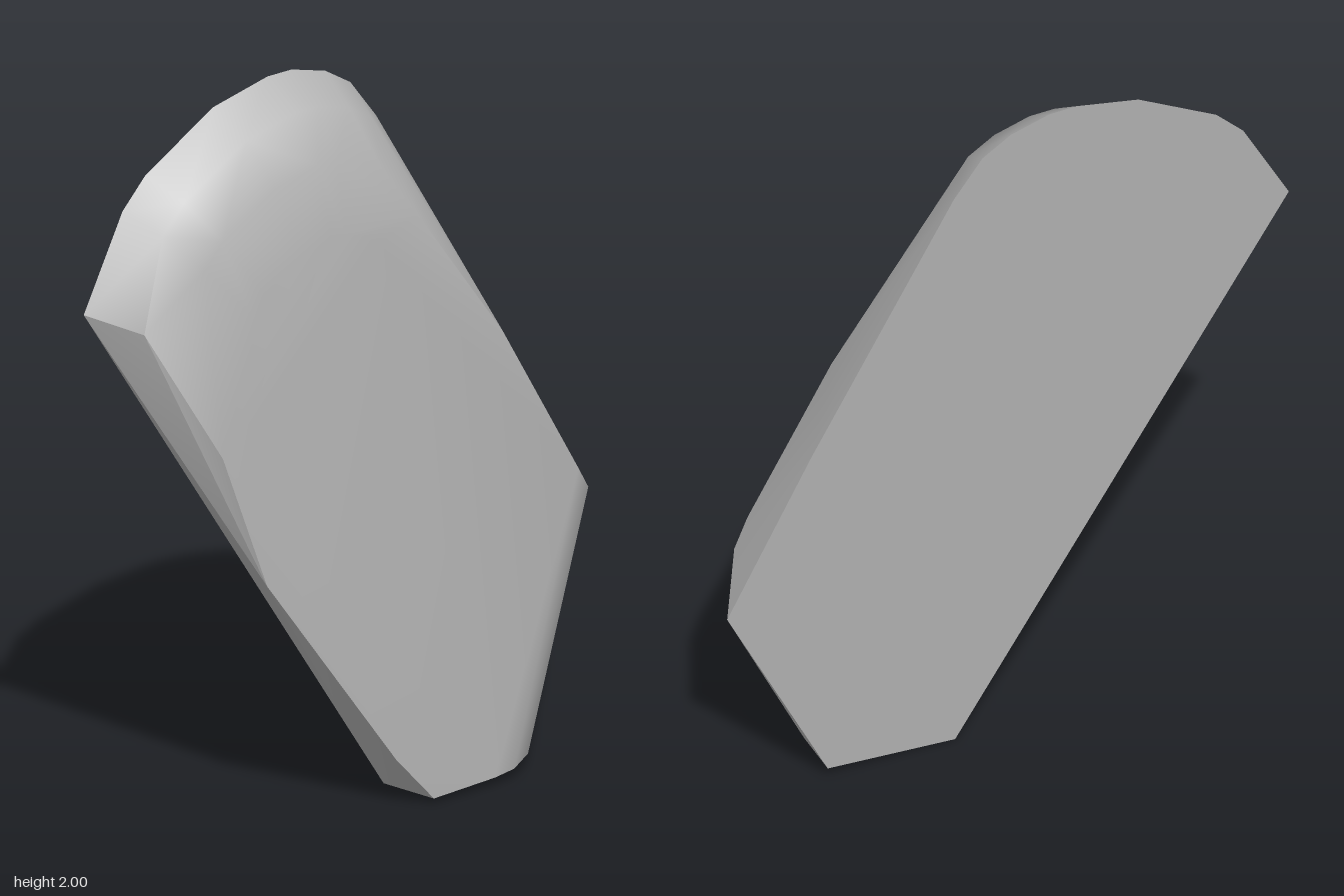
import * as THREE from 'three';
import { ConvexGeometry } from 'three/addons/geometries/ConvexGeometry.js';
import { toCreasedNormals } from 'three/addons/utils/BufferGeometryUtils.js';

// Point on the slab: z, y and thickness t above the tilted flat back
const onSlab = ([z, y, t = 0]) =>
  new THREE.Vector3(-0.041 - 0.0553 * y - 0.0512 * z + t, y, z);

export function createModel() {
  const group = new THREE.Group();
  group.name = 'stoneSlab';
  const stone = new THREE.MeshStandardMaterial({ color: 0xb4b4b4 });
  stone.name = 'grey stone';

  // Rounded upper outline of the flat back
  const crown = [[0.8, 1.5], [0.66, 1.75], [0.58, 1.83], [0.35, 1.96], [0.17, 2],
    [0.09, 2], [-0.02, 1.97], [-0.1, 1.92], [-0.18, 1.81]];
  // Remaining back corners
  const backCorners = [[-0.57, 1.09], [-0.8, 0.63], [-0.49, 0.03], [-0.12, 0]];
  // Sharp rim of the broad face
  const faceRim = [
    [0.71, 1.46, 0.128], [0.53, 1.1, 0.202], [0.4, 0.72, 0.2], [0, 0.15, 0.2],
    [-0.12, 0.015, 0.197], [-0.32, 0.025, 0.2], [-0.39, 0.03, 0.192], [-0.48, 0.035, 0.14],
    [-0.69, 0.72, 0.165], [-0.64, 0.79, 0.19], [-0.41, 1.22, 0.19], [-0.15, 1.6, 0.186],
  ];
  const points = [...crown, ...backCorners, ...faceRim].map(onSlab);

  // Rings that shrink and rise from the crown to the broad face
  for (const [scale, t] of [[0.92, 0.1], [0.78, 0.168], [0.56, 0.194]]) {
    for (const [z, y] of crown.slice(1, -1)) {
      points.push(onSlab([0.1 + (z - 0.1) * scale, 1.1 + (y - 1.1) * scale, t]));
    }
  }

  const slab = new THREE.Mesh(toCreasedNormals(new ConvexGeometry(points), 0.65), stone);
  slab.name = 'slab';
  group.add(slab);
  return group;
}
